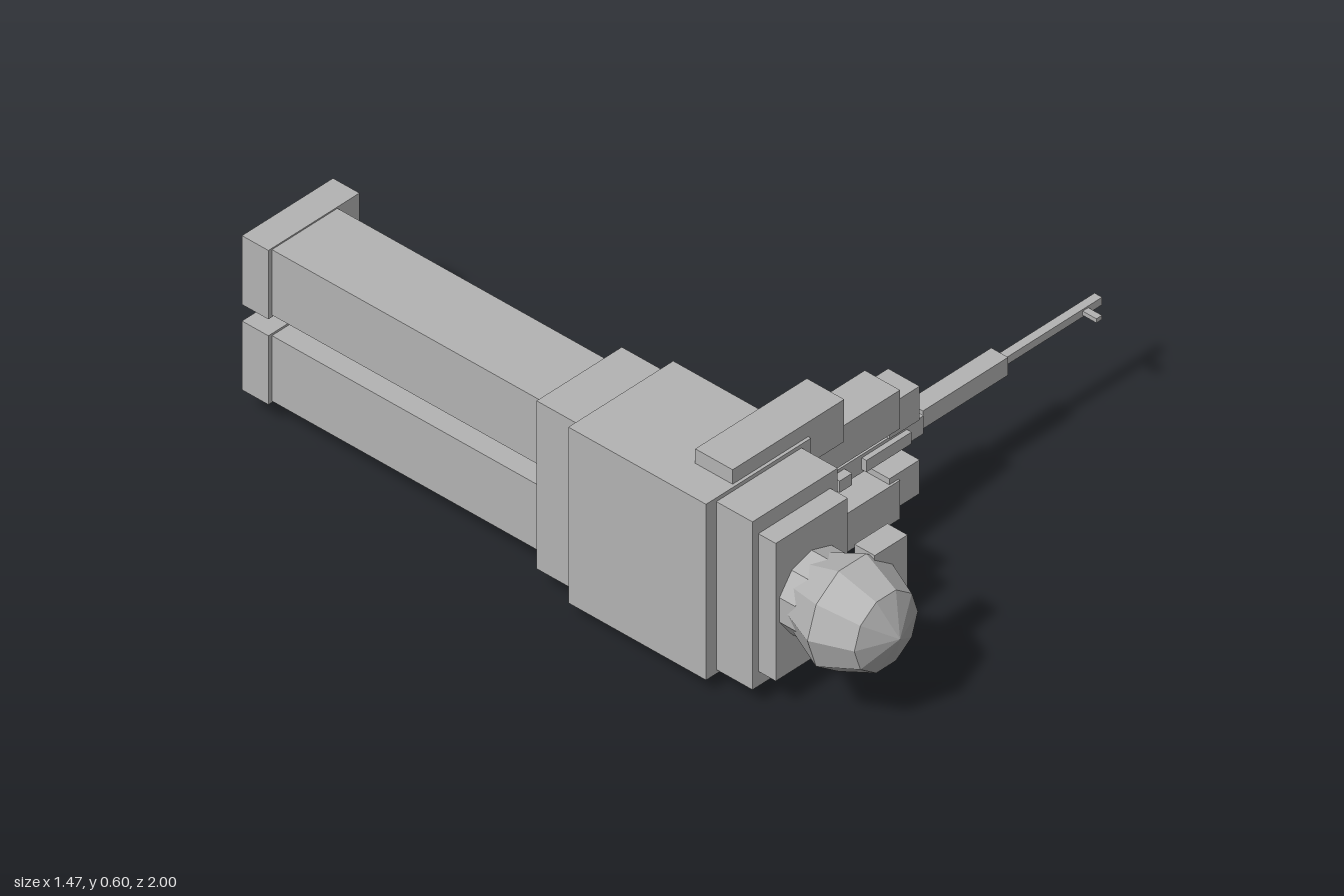
import * as THREE from 'three';

export function createModel() {
  const model = new THREE.Group();
  model.name = 'lyingFigure';
  const grey = new THREE.MeshStandardMaterial({ color: 0xb4b4b4, flatShading: true });
  grey.name = 'plain grey';

  const add = (name, geometry, parent = model) => {
    const mesh = new THREE.Mesh(geometry, grey);
    mesh.name = name;
    parent.add(mesh);
    return mesh;
  };
  // Box given by its limits along each axis
  const box = (name, [x0, x1], [y0, y1], [z0, z1], parent) =>
    add(name, new THREE.BoxGeometry(x1 - x0, y1 - y0, z1 - z0), parent)
      .position.set((x0 + x1) / 2, (y0 + y1) / 2, (z0 + z1) / 2);

  // Trunk, from hips to collar
  box('hips', [-0.70, -0.41], [0.057, 0.545], [-0.035, 0.10]);
  box('torso', [-0.735, -0.378], [0.045, 0.556], [0.10, 0.542]);
  box('shoulders', [-0.70, -0.41], [0.057, 0.545], [0.542, 0.658]);
  box('collar', [-0.68, -0.435], [0.10, 0.50], [0.658, 0.714]);

  // Faceted head with its neck and brim
  const neck = new THREE.CylinderGeometry(0.115, 0.115, 0.06, 10).rotateX(Math.PI / 2);
  add('neck', neck).position.set(-0.558, 0.30, 0.735);
  const helmet = new THREE.SphereGeometry(0.153, 10, 4).rotateX(Math.PI / 2);
  add('helmet', helmet).position.set(-0.558, 0.30, 0.845);
  box('brim', [-0.50, -0.388], [0.157, 0.443], [0.797, 0.862]);

  // Limbs, mirrored about y = 0.30
  for (const side of [1, -1]) {
    const limbs = new THREE.Group();
    limbs.name = side > 0 ? 'upperLimbs' : 'lowerLimbs';
    model.add(limbs);
    const part = (name, x, a, b, z) =>
      box(name, x, side > 0 ? [0.30 + a, 0.30 + b] : [0.30 - b, 0.30 - a], z, limbs);
    part('leg', [-0.668, -0.445], 0.03, 0.22, [-0.915, -0.035]);
    part('foot', [-0.68, -0.37], 0.024, 0.224, [-1.0, -0.915]);
    part('upperArm', [-0.635, -0.255], 0.175, 0.298, [0.413, 0.533]);
    part('forearm', [-0.37, -0.03], 0.075, 0.187, [0.387, 0.50]);
    part('hand', [-0.06, 0.043], 0.058, 0.156, [0.393, 0.494]);
  }

  // Rifle
  const rifle = new THREE.Group();
  rifle.name = 'rifle';
  model.add(rifle);
  const gun = (name, x, halfY, z) => box(name, x, [0.30 - halfY, 0.30 + halfY], z, rifle);
  gun('receiver', [-0.31, 0.093], 0.026, [0.383, 0.46]);
  gun('grip', [-0.35, -0.296], 0.018, [0.266, 0.39]);
  gun('magazine', [-0.222, -0.155], 0.018, [0.20, 0.39]);
  gun('rearSight', [-0.22, -0.177], 0.017, [0.455, 0.485]);
  gun('topRail', [-0.118, 0.036], 0.017, [0.455, 0.475]);
  gun('handguard', [0.105, 0.395], 0.026, [0.392, 0.446]);
  gun('barrel', [0.395, 0.732], 0.011, [0.406, 0.43]);
  gun('frontSight', [0.666, 0.685], 0.006, [0.43, 0.474]);

  return model;
}
